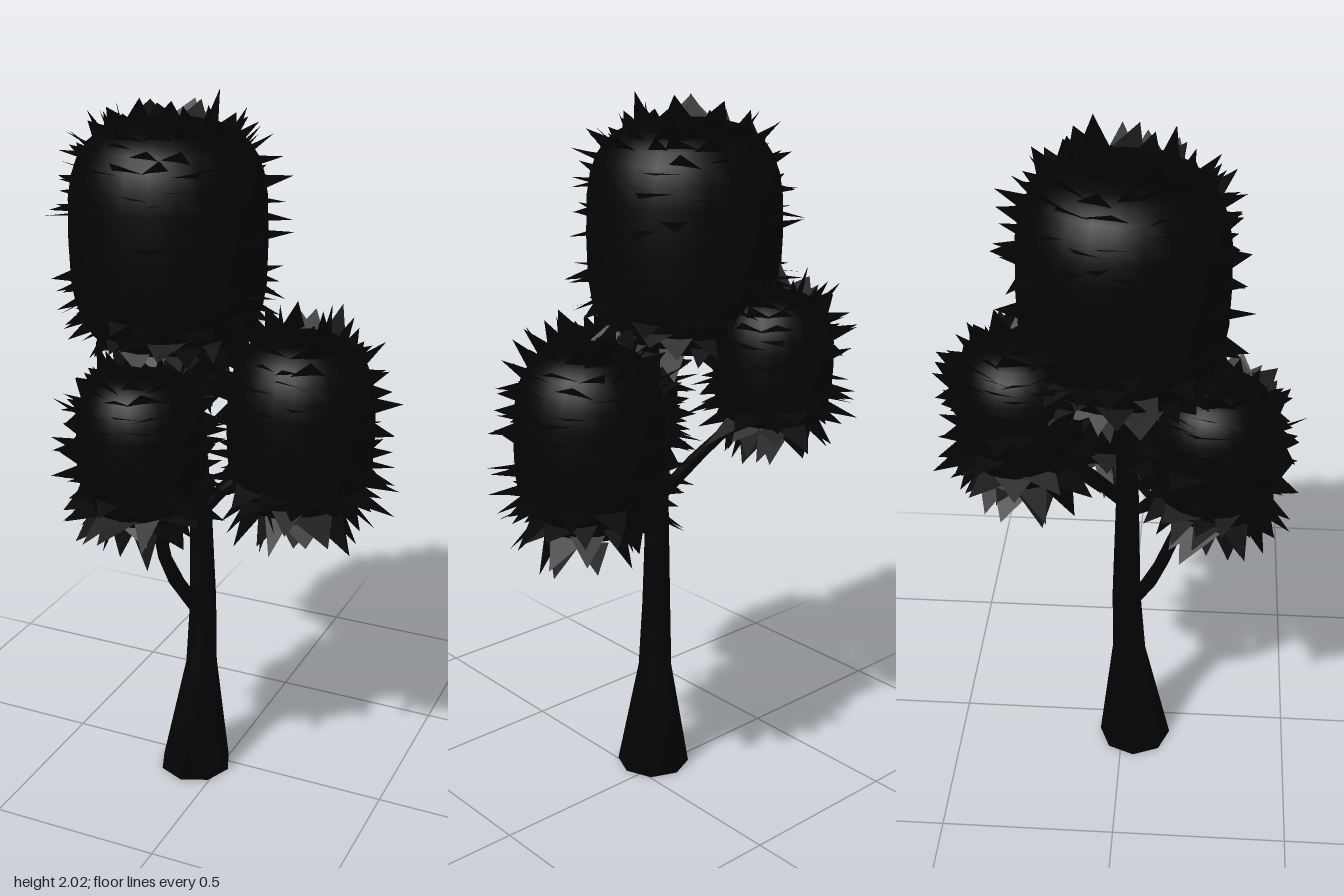
import * as THREE from 'three';

const bark = new THREE.MeshStandardMaterial({ color: 0x030303 });
bark.name = 'dark bark';
const leaf = new THREE.MeshStandardMaterial({ color: 0x030303, side: THREE.DoubleSide });
leaf.name = 'dark foliage';

// Small seeded random generator
let seed = 7;
const rand = (a = 0, b = 1) => {
  seed = (seed * 16807) % 2147483647;
  return a + (b - a) * (seed / 2147483647);
};

const bend = (v, e) => Math.sign(v) * Math.pow(Math.abs(v), e);

// Lofts horizontal rings [x, y, z, radius] into a closed limb
function limb(name, rings, sides = 8) {
  const pos = [], index = [];
  for (const [x, y, z, r] of rings) {
    for (let i = 0; i < sides; i++) {
      const a = (i / sides) * Math.PI * 2;
      pos.push(x + r * Math.sin(a), y, z + r * Math.cos(a));
    }
  }
  for (let k = 0; k < rings.length - 1; k++) {
    for (let i = 0; i < sides; i++) {
      const a = k * sides + i, b = k * sides + (i + 1) % sides;
      index.push(a, b, b + sides, a, b + sides, a + sides);
    }
  }
  const last = (rings.length - 1) * sides;
  for (let i = 1; i < sides - 1; i++) {
    index.push(0, i + 1, i, last, last + i, last + i + 1);
  }
  const geo = new THREE.BufferGeometry();
  geo.setAttribute('position', new THREE.Float32BufferAttribute(pos, 3));
  geo.setIndex(index);
  geo.computeVertexNormals();
  const mesh = new THREE.Mesh(geo, bark);
  mesh.name = name;
  return mesh;
}

// Barrel-shaped crown: a lathed core with rows of pointed leaves standing out of it
function crown(name, [x, y, z], R, H, { power = 0.7, length = 0.06, droop = 0.6, count = 17 } = {}) {
  const group = new THREE.Group();
  group.name = name;
  group.position.set(x, y, z);

  const profile = [];
  for (let i = 0; i <= 16; i++) {
    const t = (i / 16 - 0.5) * Math.PI;
    profile.push(new THREE.Vector2(R * bend(Math.max(Math.cos(t), 0), power), H * bend(Math.sin(t), power)));
  }
  const core = new THREE.Mesh(new THREE.LatheGeometry(profile, 24), leaf);
  core.name = name + 'Core';
  group.add(core);

  const pos = [];
  for (const lat of [-68, -52, -38, -24, -10, 4, 18, 32, 46, 60, 75]) {
    const n = Math.max(6, Math.round(count * Math.pow(Math.cos(lat * Math.PI / 180), 0.7)));
    for (let i = 0; i < n; i++) {
      const t = (lat + rand(-4, 4)) * Math.PI / 180;
      const a = ((i + rand(-0.25, 0.25)) / n) * Math.PI * 2 + lat;
      const out = new THREE.Vector3(Math.sin(a), 0, Math.cos(a));
      const side = new THREE.Vector3(Math.cos(a), 0, -Math.sin(a));
      const r = R * bend(Math.cos(t), power), h = H * bend(Math.sin(t), power);
      const normal = out.clone().multiplyScalar(H * Math.pow(Math.cos(t), 2 - power));
      normal.y = R * bend(Math.sin(t), 2 - power);
      normal.normalize();
      normal.y += rand(-0.15, 0.15);
      const base = out.clone().multiplyScalar(r * 0.95).setY(h * 0.97);
      const w = Math.min(rand(0.035, 0.06), r * 0.6);
      const len = length * rand(0.6, 1.25) * (1 + droop * Math.max(0, -Math.sin(t)));
      const left = base.clone().addScaledVector(side, -w);
      const right = base.clone().addScaledVector(side, w);
      const tip = base.clone().addScaledVector(normal, len + 0.01).addScaledVector(side, rand(-0.04, 0.04));
      left.y += rand(-0.012, 0.012);
      right.y += rand(-0.012, 0.012);
      pos.push(...left.toArray(), ...right.toArray(), ...tip.toArray());
    }
  }
  const geo = new THREE.BufferGeometry();
  geo.setAttribute('position', new THREE.Float32BufferAttribute(pos, 3));
  geo.computeVertexNormals();
  const leaves = new THREE.Mesh(geo, leaf);
  leaves.name = name + 'Leaves';
  group.add(leaves);
  return group;
}

export function createModel() {
  seed = 7;
  const tree = new THREE.Group();
  tree.name = 'tree';

  // Flared trunk and the branches that carry the crowns
  tree.add(
    limb('trunk', [
      [-0.08, 0, 0.04, 0.108], [-0.068, 0.34, 0.02, 0.049], [-0.065, 0.55, 0.012, 0.041],
      [-0.07, 0.9, 0.015, 0.032], [-0.11, 1.4, 0.01, 0.022],
    ]),
    limb('frontBranch', [
      [-0.075, 0.52, 0.022, 0.026], [-0.118, 0.63, 0.078, 0.024], [-0.136, 0.72, 0.115, 0.02],
      [-0.133, 0.84, 0.16, 0.018], [-0.13, 1.05, 0.25, 0.012],
    ]),
    limb('leftBranch', [
      [-0.065, 0.84, 0.01, 0.025], [0.01, 0.93, -0.01, 0.024], [0.1, 1.02, -0.03, 0.02], [0.2, 1.15, -0.03, 0.012],
    ]),
    limb('backBranch', [
      [-0.07, 0.88, 0.01, 0.025], [-0.13, 1.02, -0.09, 0.024], [-0.2, 1.14, -0.18, 0.02], [-0.26, 1.3, -0.25, 0.012],
    ]),
  );

  // Four crowns
  tree.add(
    crown('topCrown', [-0.16, 1.625, 0.01], 0.27, 0.315, { power: 0.62, length: 0.06, droop: 0.1, count: 22 }),
    crown('leftCrown', [0.215, 1.125, -0.03], 0.205, 0.265, { length: 0.065 }),
    crown('frontCrown', [-0.13, 1.115, 0.255], 0.175, 0.215, { length: 0.055 }),
    crown('backCrown', [-0.26, 1.3, -0.245], 0.165, 0.2, { length: 0.06 }),
  );

  // Two long stray leaves
  const stray = (name, from, to) => {
    const a = new THREE.Vector3(...from), b = new THREE.Vector3(...to);
    const geo = new THREE.ConeGeometry(0.009, a.distanceTo(b), 4);
    const mesh = new THREE.Mesh(geo, leaf);
    mesh.name = name;
    mesh.position.copy(a).add(b).multiplyScalar(0.5);
    mesh.quaternion.setFromUnitVectors(new THREE.Vector3(0, 1, 0), b.sub(a).normalize());
    tree.add(mesh);
  };
  stray('frontStrayLeaf', [-0.22, 1.24, 0.4], [-0.26, 1.31, 0.485]);
  stray('leftStrayLeaf', [0.21, 0.98, 0.2], [0.275, 0.95, 0.3]);

  return tree;
}
